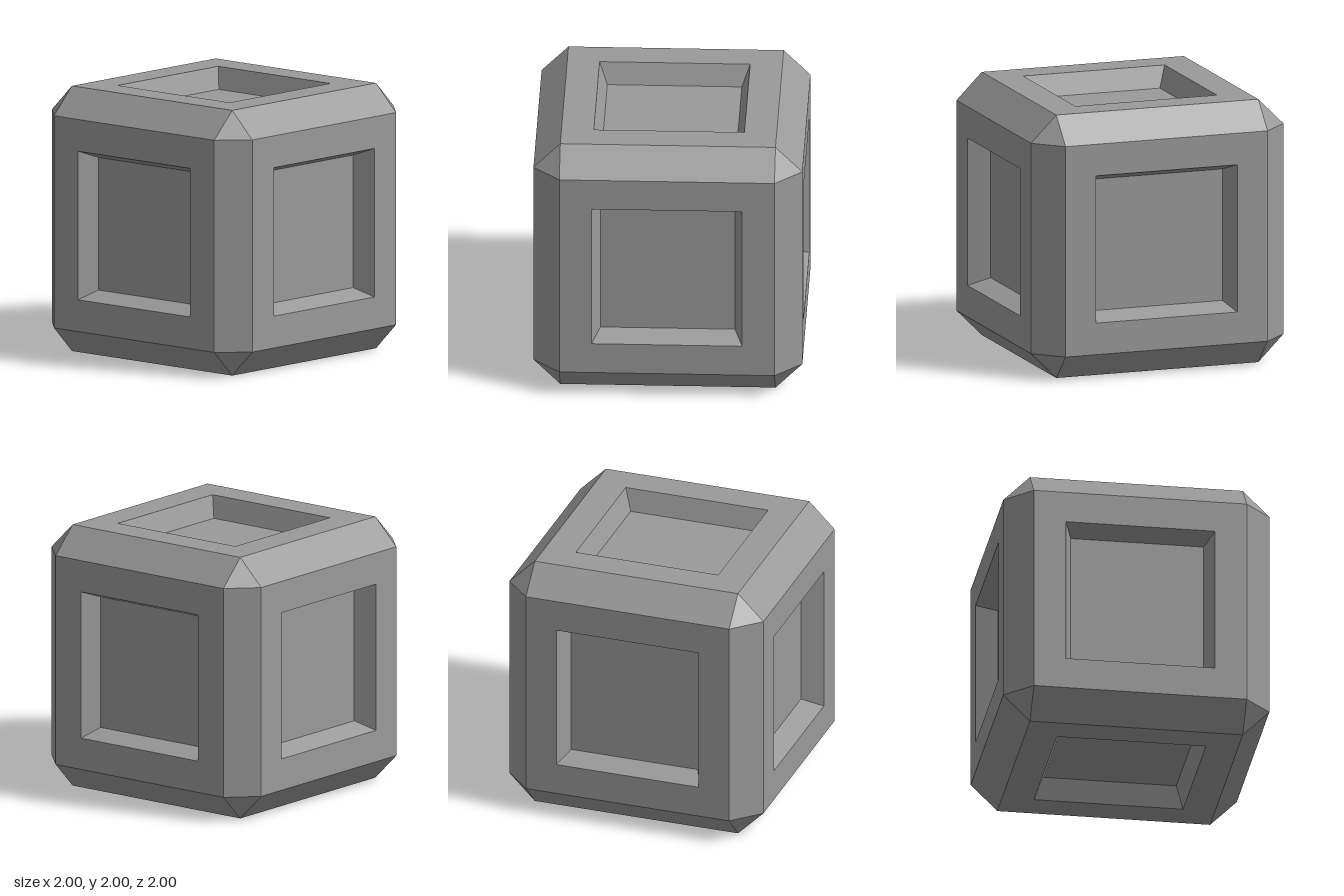
import * as THREE from 'three';

const HALF = 1;       // half size of the cube
const FLAT = 0.8;     // half width of each face inside the chamfers
const OPENING = 0.56; // half width of the recess at its rim
const FLOOR = 0.5;    // half width of the recess floor
const DEPTH = 0.16;   // recess depth

// Flat-shaded geometry from a list of triangles or quads
function facets(faces) {
  const points = faces.flatMap(([a, b, c, d]) => (d ? [a, b, c, a, c, d] : [a, b, c]));
  const geometry = new THREE.BufferGeometry();
  geometry.setAttribute('position', new THREE.Float32BufferAttribute(points.flat(), 3));
  geometry.computeVertexNormals();
  return geometry;
}

const square = (h, z) => [[-h, -h, z], [h, -h, z], [h, h, z], [-h, h, z]];

// Ring of four quads between two squares
const ring = (outer, inner) => outer.map((p, i) => {
  const j = (i + 1) % 4;
  return [p, outer[j], inner[j], inner[i]];
});

export function createModel() {
  const model = new THREE.Group();
  model.name = 'recessedCube';
  const cube = new THREE.Group();
  cube.name = 'cube';
  cube.position.y = HALF;
  model.add(cube);

  const material = new THREE.MeshStandardMaterial({ color: 0x9a9a9a, flatShading: true });

  const rim = square(OPENING, HALF);
  const floor = square(FLOOR, HALF - DEPTH);
  const frameGeometry = facets(ring(square(FLAT, HALF), rim));
  const recessGeometry = facets([...ring(rim, floor), floor]);
  const edgeGeometry = facets([
    [[-FLAT, FLAT, HALF], [FLAT, FLAT, HALF], [FLAT, HALF, FLAT], [-FLAT, HALF, FLAT]],
  ]);
  const cornerGeometry = facets([
    [[FLAT, FLAT, HALF], [HALF, FLAT, FLAT], [FLAT, HALF, FLAT]],
  ]);

  const add = (name, geometry, rx, ry, rz) => {
    const mesh = new THREE.Mesh(geometry, material);
    mesh.name = name;
    mesh.rotation.set(rx, ry, rz);
    cube.add(mesh);
  };
  const addPanel = (name, rx, ry) => {
    add(name + 'Frame', frameGeometry, rx, ry, 0);
    add(name + 'Recess', recessGeometry, rx, ry, 0);
  };

  // Four sides with their chamfered edges and corners
  ['front', 'left', 'back', 'right'].forEach((side, i) => {
    const turn = (i * Math.PI) / 2;
    addPanel(side, 0, turn);
    add(side + 'TopEdge', edgeGeometry, 0, turn, 0);
    add(side + 'UprightEdge', edgeGeometry, 0, turn, -Math.PI / 2);
    add(side + 'BottomEdge', edgeGeometry, 0, turn, Math.PI);
    add(side + 'TopCorner', cornerGeometry, 0, turn, 0);
    add(side + 'BottomCorner', cornerGeometry, 0, turn, Math.PI);
  });

  // Top and bottom faces
  addPanel('top', -Math.PI / 2, 0);
  addPanel('bottom', Math.PI / 2, 0);

  return model;
}
